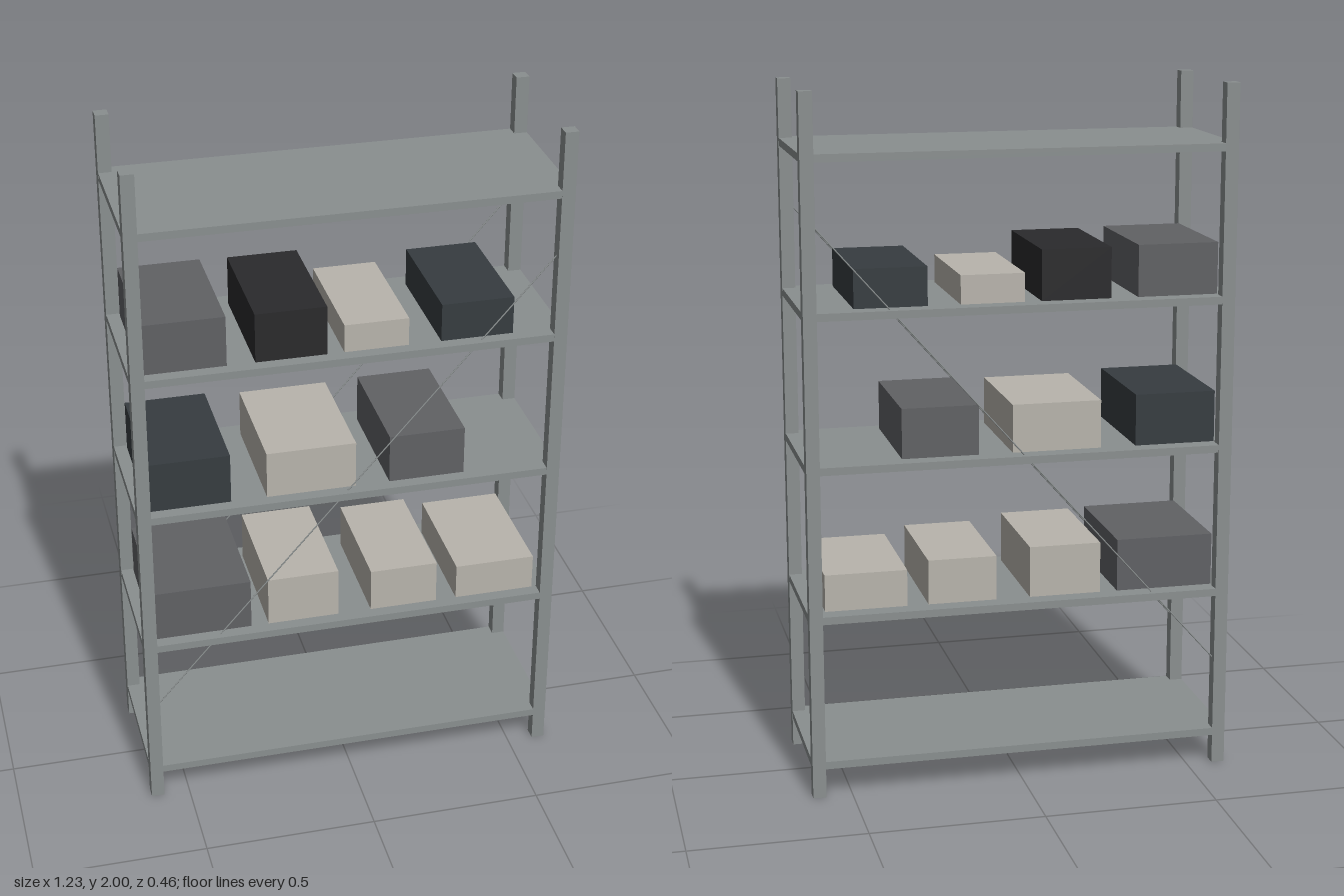
import * as THREE from 'three';

const W = 1.228, D = 0.457, H = 2, POST = 0.038, SHELF = 0.022;

const mat = (color) => new THREE.MeshStandardMaterial({ color });
const steel = mat(0x8a8f8f);
const grey = mat(0x606164), slate = mat(0x363c40), black = mat(0x2a2a2c), pale = mat(0xb8b4ac);

function addBox(parent, name, size, pos, material) {
  const mesh = new THREE.Mesh(new THREE.BoxGeometry(...size), material);
  mesh.position.set(...pos);
  mesh.name = name;
  parent.add(mesh);
  return mesh;
}

export function createModel() {
  const model = new THREE.Group();
  model.name = 'storageRack';
  const px = (W - POST) / 2, pz = (D - POST) / 2;

  // Corner posts
  const posts = new THREE.Group();
  posts.name = 'posts';
  for (const sx of [-1, 1]) for (const sz of [-1, 1])
    addBox(posts, `${sz > 0 ? 'front' : 'back'}${sx > 0 ? 'Left' : 'Right'}Post`,
      [POST, H, POST], [sx * px, H / 2, sz * pz], steel);
  model.add(posts);

  // Evenly spaced shelves, a hair inside the post faces
  const shelves = new THREE.Group();
  shelves.name = 'shelves';
  const shelfTop = (i) => 0.107 + i * 0.4315;
  for (let i = 0; i < 5; i++)
    addBox(shelves, `shelf${i + 1}`, [W - 0.001, SHELF, D - 0.001],
      [0, shelfTop(i) - SHELF / 2, 0], steel);
  model.add(shelves);

  // Diagonal brace rods at the front and back
  const from = new THREE.Vector2(-px, 0.302), to = new THREE.Vector2(px, 1.656);
  const dir = to.clone().sub(from);
  for (const sz of [-1, 1]) {
    const rod = new THREE.Mesh(new THREE.CylinderGeometry(0.002, 0.002, dir.length(), 8), steel);
    rod.name = sz > 0 ? 'frontBrace' : 'backBrace';
    rod.position.set(0, (from.y + to.y) / 2, sz * pz);
    rod.rotation.z = dir.angle() - Math.PI / 2;
    model.add(rod);
  }

  // Stored boxes per shelf: [left edge, right edge, height, material]
  const rows = {
    1: [[-0.577, -0.292, 0.153, grey], [-0.241, -0.032, 0.149, pale],
        [0.066, 0.265, 0.13, pale], [0.326, 0.562, 0.107, pale]],
    2: [[-0.577, -0.342, 0.149, slate], [-0.239, 0.019, 0.139, pale], [0.117, 0.337, 0.144, grey]],
    3: [[-0.577, -0.344, 0.148, grey], [-0.265, -0.064, 0.145, black],
        [-0.016, 0.167, 0.082, pale], [0.26, 0.467, 0.111, slate]],
  };
  const zFront = 0.191, zBack = -0.178;
  for (const [shelf, boxes] of Object.entries(rows)) {
    const row = new THREE.Group();
    row.name = `boxesOnShelf${+shelf + 1}`;
    boxes.forEach(([x0, x1, h, m], k) =>
      addBox(row, `storageBox${k + 1}`, [x1 - x0, h, zFront - zBack],
        [(x0 + x1) / 2, shelfTop(+shelf) + h / 2, (zFront + zBack) / 2], m));
    model.add(row);
  }
  return model;
}
